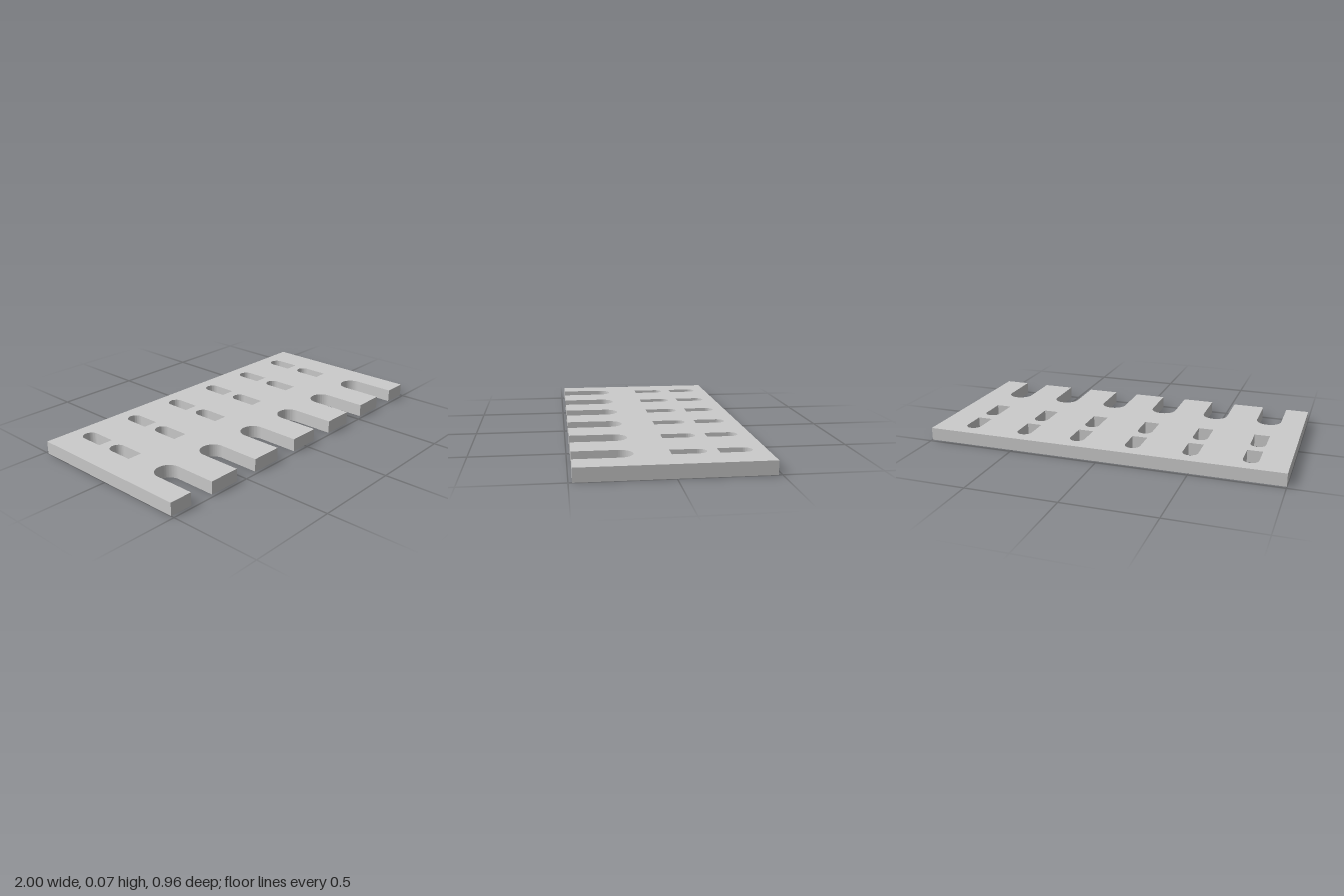
import * as THREE from 'three';
import { toCreasedNormals } from 'three/addons/utils/BufferGeometryUtils.js';

const HALF_X = 1, HALF_Z = 0.481, THICKNESS = 0.071;
const BAYS = 6, SPACING = 0.318, FIRST_X = -0.8;

// Round-headed window opening; the facade is drawn upright, so y = -z
function windowHole(x, sill, head, r) {
  const hole = new THREE.Path();
  hole.moveTo(x - r, sill);
  hole.lineTo(x + r, sill);
  hole.lineTo(x + r, head - r);
  hole.absarc(x, head - r, r, 0, Math.PI, false);
  hole.lineTo(x - r, sill);
  return hole;
}

export function createModel() {
  const group = new THREE.Group();
  group.name = 'arcadeFacade';
  const centres = Array.from({ length: BAYS }, (_, i) => FIRST_X + i * SPACING);

  // Outline with the open arcade arches cut into the lower edge
  const outline = new THREE.Shape();
  const archR = 0.07, archHead = -0.18;
  outline.moveTo(-HALF_X, -HALF_Z);
  for (const x of centres) {
    outline.lineTo(x - archR, -HALF_Z);
    outline.lineTo(x - archR, archHead - archR);
    outline.absarc(x, archHead - archR, archR, Math.PI, 0, true);
    outline.lineTo(x + archR, -HALF_Z);
  }
  outline.lineTo(HALF_X, -HALF_Z);
  outline.lineTo(HALF_X, HALF_Z);
  outline.lineTo(-HALF_X, HALF_Z);
  outline.closePath();

  // Two rows of windows
  for (const x of centres) {
    outline.holes.push(windowHole(x, 0, 0.18, 0.042));
    outline.holes.push(windowHole(x, 0.238, 0.408, 0.042));
  }

  // Extrude and lay the wall flat
  let geometry = new THREE.ExtrudeGeometry(outline, {
    depth: THICKNESS, bevelEnabled: false, curveSegments: 24,
  });
  geometry.rotateX(-Math.PI / 2);
  geometry = toCreasedNormals(geometry, Math.PI / 6);

  const wall = new THREE.Mesh(geometry, new THREE.MeshStandardMaterial({ color: 0xcccccc }));
  wall.name = 'facadeWall';
  group.add(wall);
  return group;
}
